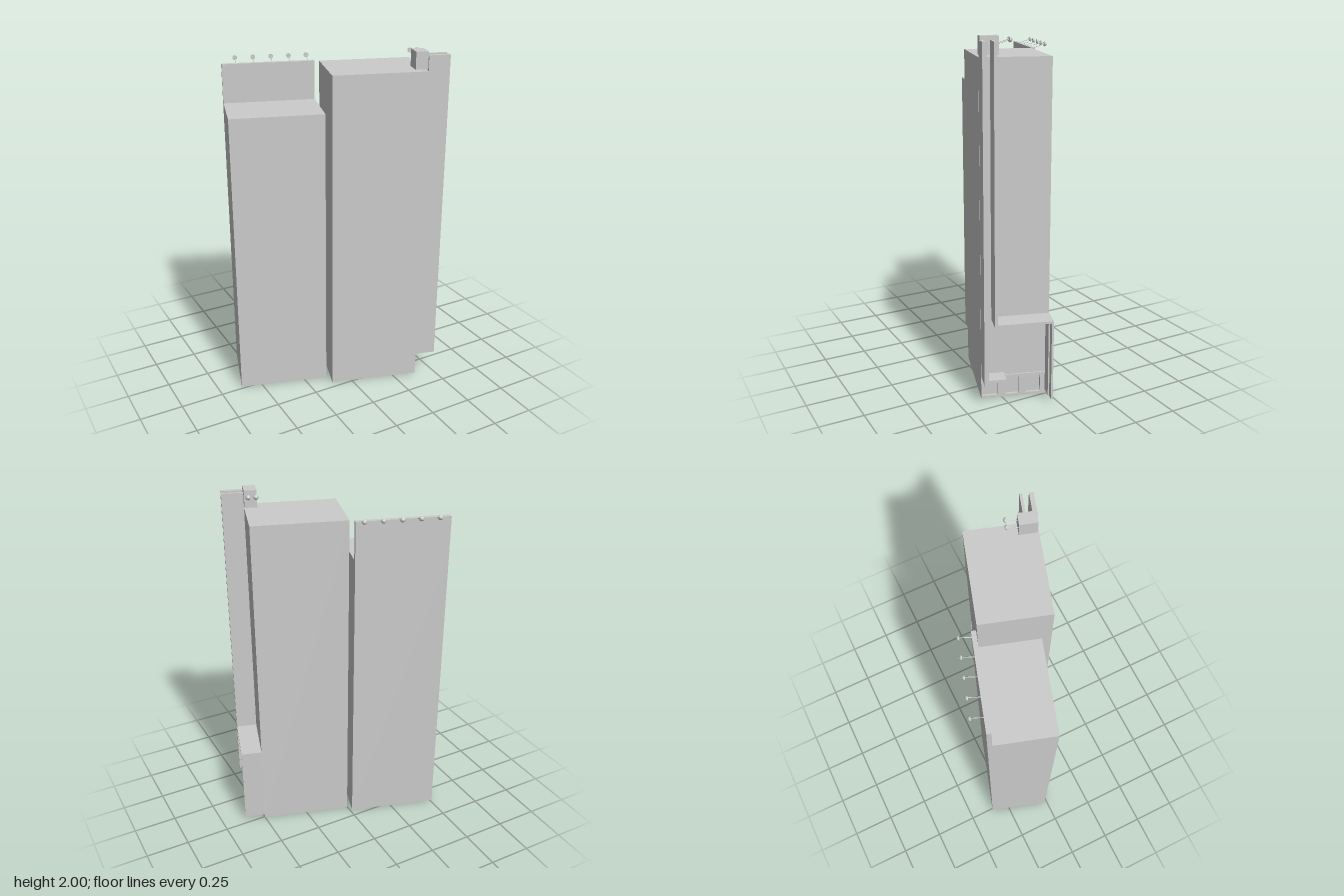
import * as THREE from 'three';

const mat = new THREE.MeshStandardMaterial({ color: 0xcccccc, flatShading: true, side: THREE.DoubleSide });

function add(parent, geometry, name) {
  const mesh = new THREE.Mesh(geometry, mat);
  mesh.name = name;
  parent.add(mesh);
  return mesh;
}

// Box between two corners; skip lists faces left out (0 right, 1 left, 2 top, 3 bottom, 4 front, 5 back)
function box(parent, name, [x0, x1], [y0, y1], [z0, z1], skip = []) {
  const g = new THREE.BoxGeometry(x1 - x0, y1 - y0, z1 - z0);
  if (skip.length) {
    const index = Array.from(g.index.array);
    g.setIndex(index.filter((_, i) => !skip.includes(Math.floor(i / 6))));
    g.clearGroups();
  }
  g.translate((x0 + x1) / 2, (y0 + y1) / 2, (z0 + z1) / 2);
  return add(parent, g, name);
}

// Thin stem rising backwards to a small half-dome head
function lamp(parent, x, y, z) {
  const g = new THREE.Group();
  g.name = 'lamp';
  const path = new THREE.LineCurve3(new THREE.Vector3(0, -0.003, 0.002), new THREE.Vector3(0, 0.017, -0.06));
  add(g, new THREE.TubeGeometry(path, 1, 0.002, 6), 'lampStem');
  const dome = new THREE.SphereGeometry(0.014, 12, 5, 0, Math.PI * 2, 0, Math.PI / 2);
  dome.rotateX(-Math.PI / 2);
  dome.translate(0, 0.017, -0.06);
  add(g, dome, 'lampHead');
  const disc = new THREE.CircleGeometry(0.014, 12);
  disc.translate(0, 0.017, -0.06);
  add(g, disc, 'lampFace');
  g.position.set(x, y, z);
  parent.add(g);
}

export function createModel() {
  const model = new THREE.Group();
  model.name = 'towerPair';
  model.rotation.y = -THREE.MathUtils.degToRad(17.5);

  // Lower tower with a tall back parapet, open underneath
  box(model, 'lowTower', [-0.594, -0.073], [0, 1.675], [-0.186, 0.171], [3]);
  box(model, 'backParapet', [-0.594, -0.073], [1.675, 1.895], [-0.186, -0.161]);
  for (let i = 0; i < 5; i++) lamp(model, -0.512 + i * 0.1015, 1.895, -0.186);

  // Taller tower; its side wall is separate
  box(model, 'tallTower', [-0.047, 0.476], [0, 1.895], [-0.155, 0.228], [0, 3]);

  // Side wall with three window openings at the base
  const wall = new THREE.Shape([[-0.155, 0], [0.228, 0], [0.228, 1.895], [-0.155, 1.895]]
    .map(([a, b]) => new THREE.Vector2(a, b)));
  for (const [a, b] of [[0.133, 0.222], [0.013, 0.091], [-0.108, -0.029]]) {
    wall.holes.push(new THREE.Path([[a, 0.015], [a, 0.115], [b, 0.115], [b, 0.015]]
      .map(([p, q]) => new THREE.Vector2(p, q))));
    box(model, 'windowPane', [0.458, 0.461], [0.015, 0.115], [a, b]);
  }
  const wallGeo = new THREE.ExtrudeGeometry(wall, { depth: 0.018, bevelEnabled: false });
  wallGeo.rotateY(-Math.PI / 2);
  wallGeo.translate(0.476, 0, 0);
  add(model, wallGeo, 'sideWall');
  box(model, 'baseSill', [0.476, 0.484], [0.125, 0.137], [-0.14, 0.227]);

  // Pair of full-height fins on the front corner with a deep groove between
  box(model, 'frontFin', [0.476, 0.595], [0.137, 1.98], [0.203, 0.227]);
  box(model, 'rearFin', [0.476, 0.595], [0.477, 1.98], [0.154, 0.169]);
  box(model, 'finFoot', [0.476, 0.565], [0.137, 0.152], [0.1, 0.203]);

  // Side canopy and the screen that carries it at the back
  box(model, 'canopyRoof', [0.476, 0.595], [0.477, 0.49], [-0.155, 0.169]);
  box(model, 'canopyScreen', [0.476, 0.595], [0.022, 0.477], [-0.155, -0.144]);
  box(model, 'screenLining', [0.476, 0.553], [0.022, 0.477], [-0.144, -0.136]);

  // Rooftop cabin with two lamps
  box(model, 'roofCabin', [0.406, 0.475], [1.905, 2.0], [0.123, 0.22]);
  for (const x of [0.416, 0.457]) lamp(model, x, 1.962, 0.125);

  const root = new THREE.Group();
  root.name = 'building';
  root.add(model);
  return root;
}
